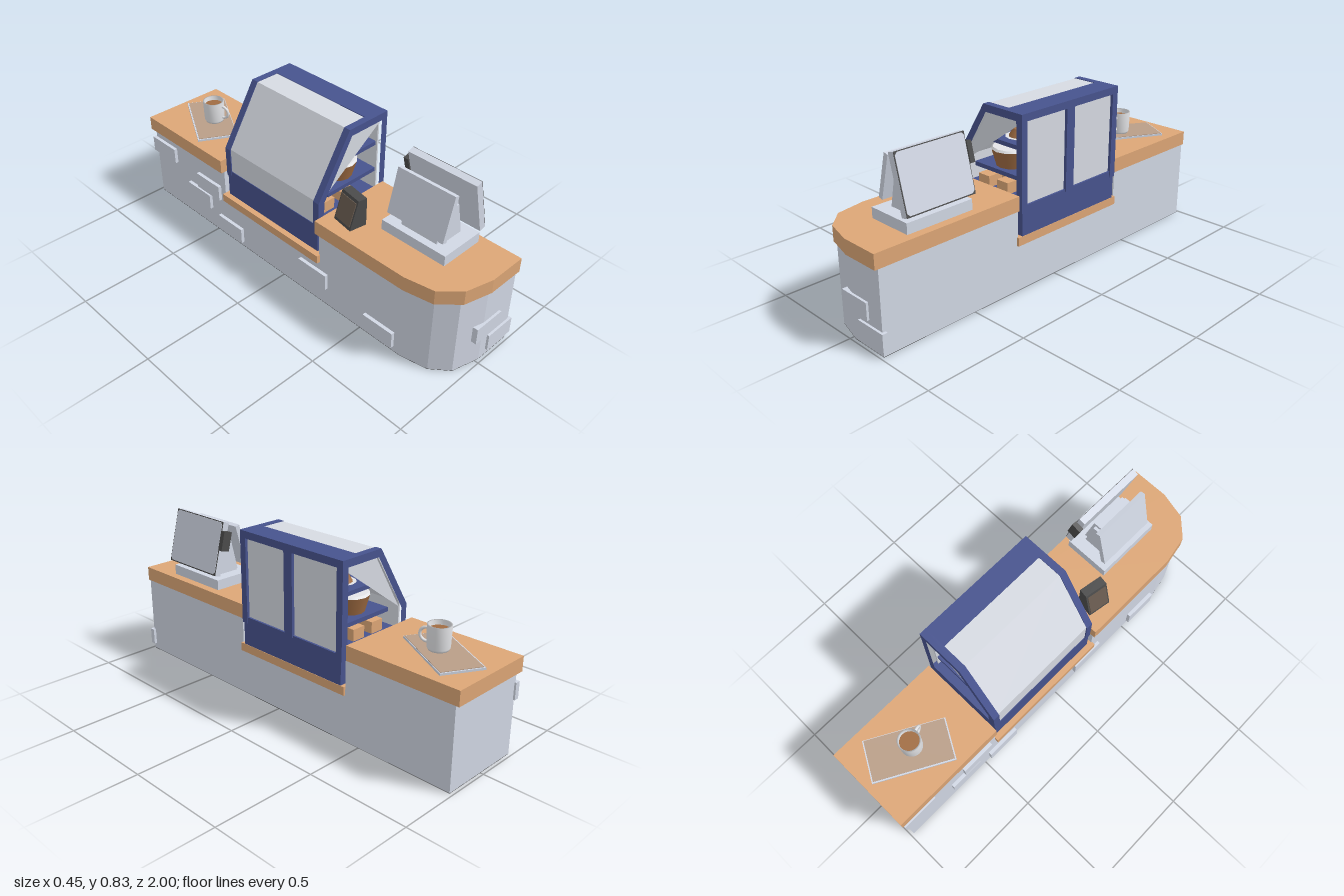
import * as THREE from 'three';

const mat = (name, color) => {
  const m = new THREE.MeshStandardMaterial({ color });
  m.name = name;
  return m;
};

export function createModel() {
  const root = new THREE.Group();
  root.name = 'serviceCounter';
  const pale = mat('paleGrey', 0xd1d7e4);
  const wood = mat('wood', 0xdca676);
  const blue = mat('navyBlue', 0x47538e);
  const glass = mat('glass', 0xd6dae2);
  glass.side = THREE.DoubleSide;
  const black = mat('black', 0x4b4b4b);
  const slate = mat('slateBrown', 0x6a5c50);
  const trayTan = mat('trayTan', 0xb99e88);
  const white = mat('white', 0xf8f9fc);
  const brown = mat('bakedBrown', 0xa06c42);

  const add = (name, geo, material, parent = root) => {
    const m = new THREE.Mesh(geo, material);
    m.name = name;
    parent.add(m);
    return m;
  };
  const group = (name, x, y, z) => {
    const g = new THREE.Group();
    g.name = name;
    g.position.set(x, y, z);
    root.add(g);
    return g;
  };
  // Box given by its extents on each axis
  const box = (name, material, x0, x1, y0, y1, z0, z1, parent = root) => {
    const m = add(name, new THREE.BoxGeometry(x1 - x0, y1 - y0, z1 - z0), material, parent);
    m.position.set((x0 + x1) / 2, (y0 + y1) / 2, (z0 + z1) / 2);
    return m;
  };
  const shapeOf = (pts) => new THREE.Shape(pts.map(([x, y]) => new THREE.Vector2(x, y)));
  // Plan outline (x, z) raised from y0 to y1
  const slab = (name, material, pts, y0, y1) => {
    const geo = new THREE.ExtrudeGeometry(shapeOf(pts.map(([x, z]) => [x, -z])), { depth: y1 - y0, bevelEnabled: false });
    geo.rotateX(-Math.PI / 2).translate(0, y0, 0);
    return add(name, geo, material);
  };
  // Side profile (x, y) running from z0 to z1
  const profile = (name, material, pts, z0, z1, parent = root, hole) => {
    const s = shapeOf(pts);
    if (hole) s.holes.push(shapeOf(hole));
    const geo = new THREE.ExtrudeGeometry(s, { depth: z1 - z0, bevelEnabled: false });
    geo.translate(0, 0, z0);
    return add(name, geo, material, parent);
  };

  // Counter body: low middle, two raised ends, one rounded corner, dark underside
  const bodyEnd = [[0.21, 0.985], [0.02, 0.985], [-0.115, 0.95], [-0.182, 0.87], [-0.208, 0.74]];
  const bodyPlan = [...bodyEnd, [-0.208, -0.985], [0.21, -0.985]];
  slab('underside', black, bodyPlan, 0, 0.002);
  slab('counterBody', pale, bodyPlan, 0.002, 0.23);
  slab('frontCounterBody', pale, [...bodyEnd, [-0.208, 0.24], [0.21, 0.24]], 0.23, 0.39);
  box('backCounterBody', pale, -0.208, 0.21, 0.23, 0.39, -0.985, -0.42);
  slab('frontWorktop', wood, [[0.21, 1], [0.02, 1], [-0.115, 0.965], [-0.2, 0.88], [-0.226, 0.74],
    [-0.226, 0.23], [0.21, 0.23]], 0.39, 0.46);
  box('backWorktop', wood, -0.226, 0.21, 0.39, 0.46, -1, -0.42);
  box('caseSill', wood, -0.226, 0.22, 0.227, 0.268, -0.42, 0.245);

  // Raised bricks on the long side: [z0, z1, y0]
  for (const [z0, z1, y0] of [[-0.994, -0.81, 0.263], [-0.71, -0.535, 0.115], [-0.63, -0.455, 0.208],
    [-0.47, -0.295, 0.03], [0.12, 0.295, 0.1], [0.53, 0.7, 0.03]]) {
    box('sideBrick', pale, -0.225, -0.2, y0, y0 + 0.081, z0, z1);
  }
  box('frontBrick', pale, -0.035, 0.127, 0.135, 0.216, 0.97, 0.996);
  box('frontBrick', pale, 0.062, 0.224, 0.032, 0.114, 0.97, 0.996);

  // Display case
  const outline = [[-0.2, 0.38], [-0.2, 0.533], [-0.015, 0.83], [0.222, 0.83], [0.222, 0.38]];
  const opening = [[-0.165, 0.42], [-0.165, 0.523], [0, 0.795], [0.188, 0.795], [0.188, 0.42]];
  for (const [z0, zg] of [[-0.407, -0.39], [0.193, 0.21]]) {
    profile('caseEndFrame', blue, outline, z0, z0 + 0.034, root, opening);
    const pane = new THREE.ShapeGeometry(shapeOf([[-0.165, 0.523], [0.188, 0.775], [0.188, 0.795], [0, 0.795]]));
    add('caseEndGlass', pane, glass).position.z = zg;
  }
  box('caseBase', blue, -0.198, 0.218, 0.268, 0.41, -0.4, 0.22);
  box('caseRoof', blue, 0.11, 0.222, 0.795, 0.83, -0.38, 0.2);
  box('doorMullion', blue, 0.185, 0.222, 0.4, 0.8, -0.108, -0.057);
  box('doorGlass', glass, 0.2, 0.208, 0.41, 0.795, -0.375, -0.1);
  box('doorGlass', glass, 0.2, 0.208, 0.41, 0.795, -0.065, 0.195);
  profile('canopyGlass', glass, [[-0.195, 0.41], [-0.195, 0.535], [-0.012, 0.827], [0.112, 0.827], [0.112, 0.819],
    [-0.007, 0.819], [-0.186, 0.533], [-0.186, 0.41]], -0.375, 0.195);

  // Shelves and baked goods
  box('lowerShelf', blue, -0.11, 0.19, 0.51, 0.53, -0.375, 0.195);
  box('upperShelf', blue, -0.01, 0.19, 0.652, 0.672, -0.375, 0.195);
  for (const z of [-0.3, -0.15, 0, 0.13]) {
    for (const x of [-0.08, 0.04]) box('pastryBox', wood, x - 0.035, x + 0.035, 0.41, 0.465, z - 0.04, z + 0.04);
  }
  for (const z of [-0.275, -0.085, 0.105]) {
    const cake = group('cake', 0.035, 0.53, z);
    add('cakeBase', new THREE.CylinderGeometry(0.092, 0.07, 0.08, 12), brown, cake).position.y = 0.04;
    add('cakeIcing', new THREE.CylinderGeometry(0.085, 0.093, 0.01, 12), white, cake).position.y = 0.085;
    const bun = group('bun', 0.09, 0.672, z);
    add('plate', new THREE.CylinderGeometry(0.068, 0.05, 0.008, 12), white, bun).position.y = 0.004;
    add('bunBody', new THREE.CylinderGeometry(0.03, 0.052, 0.035, 12), brown, bun).position.y = 0.0255;
  }

  // Till with two tilted screens
  box('tillBase', pale, -0.058, 0.17, 0.46, 0.51, 0.468, 0.81);
  profile('tillStand', pale, [[-0.022, 0.51], [0.137, 0.51], [0.095, 0.683], [0.018, 0.683]], 0.545, 0.735);
  profile('tillStandRib', pale, [[-0.005, 0.51], [0.12, 0.51], [0.085, 0.667], [0.028, 0.667]], 0.53, 0.75);
  const staff = group('staffScreen', 0.14, 0.663, 0.642);
  staff.rotation.z = 0.25;
  box('screenBody', pale, -0.018, 0.015, -0.133, 0.133, -0.178, 0.178, staff);
  box('screenRim', black, 0.015, 0.017, -0.133, 0.133, -0.178, 0.178, staff);
  // Face plate with cut corners
  const face = [[0.174, -0.115], [0.174, 0.117], [0.162, 0.129], [-0.162, 0.129], [-0.174, 0.117],
    [-0.174, -0.115], [-0.162, -0.127], [0.162, -0.127]];
  const facePlate = new THREE.ExtrudeGeometry(shapeOf(face), { depth: 0.002, bevelEnabled: false });
  facePlate.rotateY(Math.PI / 2).translate(0.017, 0, 0);
  add('screenFace', facePlate, pale, staff);
  box('cardReader', black, -0.025, 0.022, -0.005, 0.09, -0.203, -0.178, staff);
  const guest = group('customerScreen', -0.005, 0.65, 0.632);
  guest.rotation.z = -0.255;
  box('screenBody', pale, -0.012, 0.012, -0.107, 0.107, -0.15, 0.15, guest);

  // Menu wedge
  const menu = group('menuWedge', -0.117, 0.46, 0.337);
  menu.rotation.y = -0.17;
  profile('menuBody', black, [[-0.043, 0], [0.044, 0], [0.044, 0.14], [0, 0.14]], -0.058, 0.058, menu);
  const board = box('menuBoard', slate, -0.0255, -0.0195, 0.012, 0.128, -0.05, 0.05, menu);
  board.rotation.z = -0.298;

  // Tray with mug
  const tray = group('tray', -0.015, 0.46, -0.752);
  tray.rotation.y = -0.51;
  box('trayRim', pale, -0.099, 0.099, 0, 0.01, -0.19, 0.19, tray);
  box('trayInset', trayTan, -0.092, 0.096, 0.008, 0.0125, -0.184, 0.184, tray);
  const mug = group('mug', -0.012, 0.472, -0.73);
  mug.rotation.y = 0.34;
  const wall = [[0, 0], [0.044, 0], [0.05, 0.012], [0.053, 0.112], [0.046, 0.112], [0.044, 0.02], [0, 0.02]];
  add('mugBody', new THREE.LatheGeometry(wall.map(([r, y]) => new THREE.Vector2(r, y)), 20), white, mug);
  const coffee = add('coffee', new THREE.CircleGeometry(0.046, 20), brown, mug);
  coffee.rotation.x = -Math.PI / 2;
  coffee.position.y = 0.09;
  const handle = add('mugHandle', new THREE.TorusGeometry(0.031, 0.007, 8, 16, Math.PI * 1.1), white, mug);
  handle.rotation.set(0, Math.PI / 2, 0);
  handle.geometry.rotateZ(Math.PI / 2 - 0.15);
  handle.position.set(0, 0.058, 0.052);
  return root;
}
